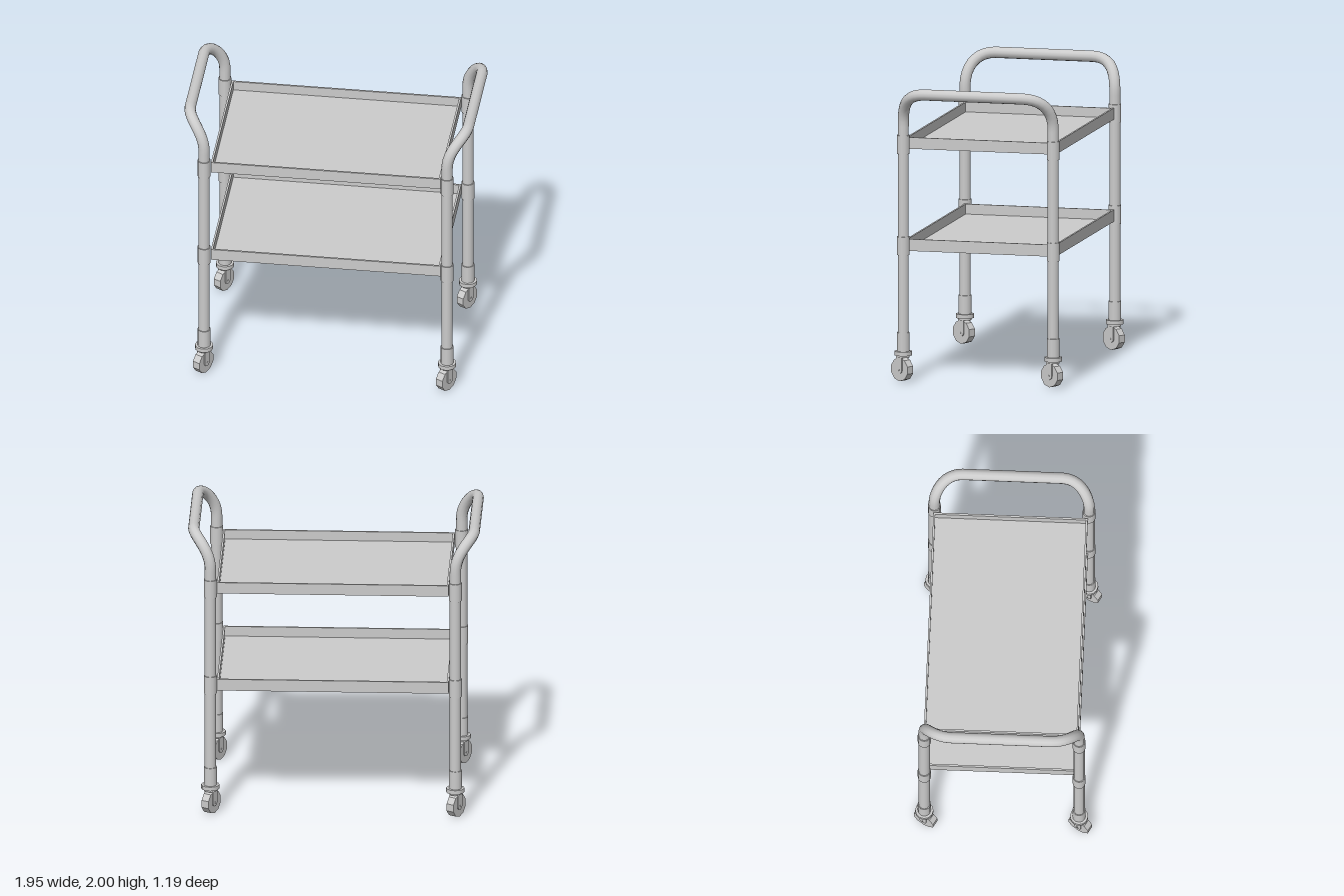
import * as THREE from 'three';

const LEG_X = 0.82, LEG_Z = 0.518, MID_Z = -0.004, TUBE_R = 0.038;
const material = new THREE.MeshStandardMaterial({ color: 0xcccccc });
const flat = new THREE.MeshStandardMaterial({ color: 0xcccccc, flatShading: true });

function add(parent, name, geometry, x = 0, y = 0, z = 0, mat = material) {
  const mesh = new THREE.Mesh(geometry, mat);
  mesh.name = name;
  mesh.position.set(x, y, z);
  parent.add(mesh);
  return mesh;
}

// One bent tube: two legs joined by a handle that flares outward
function frameTube(side) {
  const v = (x, y, z) => new THREE.Vector3(side * x, y, z);
  const hx = 0.938, hy = 1.962, hz = 0.33, bendY = 1.74;
  const path = new THREE.CurvePath();
  path.add(new THREE.LineCurve3(v(LEG_X, 0.2, LEG_Z), v(LEG_X, bendY, LEG_Z)));
  path.add(new THREE.CubicBezierCurve3(
    v(LEG_X, bendY, LEG_Z), v(LEG_X, 1.88, LEG_Z), v(hx, hy, 0.47), v(hx, hy, hz)));
  path.add(new THREE.LineCurve3(v(hx, hy, hz), v(hx, hy, -hz)));
  path.add(new THREE.CubicBezierCurve3(
    v(hx, hy, -hz), v(hx, hy, -0.47), v(LEG_X, 1.88, -LEG_Z), v(LEG_X, bendY, -LEG_Z)));
  path.add(new THREE.LineCurve3(v(LEG_X, bendY, -LEG_Z), v(LEG_X, 0.2, -LEG_Z)));
  return new THREE.TubeGeometry(path, 120, TUBE_R, 12, false);
}

// Shallow tray: floor panel with four thin walls
function tray(name, bottom, height) {
  const group = new THREE.Group();
  group.name = name;
  const w = 1.55, d = 1.034, t = 0.013;
  add(group, 'trayFloor', new THREE.BoxGeometry(w - t, 0.012, d - t), 0, 0.006, 0);
  for (const s of [-1, 1]) {
    add(group, 'trayLongWall', new THREE.BoxGeometry(w, height, t), 0, height / 2, s * (d - t) / 2);
    add(group, 'trayEndWall', new THREE.BoxGeometry(t, height, d - 2 * t), s * (w - t) / 2, height / 2, 0);
  }
  group.position.set(0, bottom, MID_Z - 0.006);
  return group;
}

// Fork plate with a rounded lower end, extruded along its thickness
function forkPlate() {
  const r = 0.026, axle = 0.078, top = 0.172, t = 0.007;
  const shape = new THREE.Shape();
  shape.moveTo(r, top);
  shape.lineTo(-r, top);
  shape.lineTo(-r, axle);
  shape.absarc(0, axle, r, Math.PI, Math.PI * 2, false);
  shape.closePath();
  return new THREE.ExtrudeGeometry(shape, { depth: t, bevelEnabled: false, curveSegments: 6 })
    .translate(0, 0, -t / 2).rotateY(Math.PI / 2);
}

// Swivelled caster with wheel, fork and round mounting plate
function caster() {
  const group = new THREE.Group();
  group.name = 'caster';
  add(group, 'casterPlate', new THREE.CylinderGeometry(0.061, 0.061, 0.028, 12), 0, 0.19, 0);
  add(group, 'casterCollar', new THREE.CylinderGeometry(0.044, 0.044, 0.016, 12), 0, 0.17, 0);
  const swivel = new THREE.Group();
  swivel.name = 'swivel';
  swivel.rotation.y = -Math.PI / 6;
  group.add(swivel);
  const wheel = new THREE.CylinderGeometry(0.08, 0.08, 0.054, 10)
    .rotateZ(Math.PI / 2).rotateX(Math.PI / 10);
  wheel.computeBoundingBox();
  add(swivel, 'wheel', wheel, 0, -wheel.boundingBox.min.y, 0.01, flat);
  for (const s of [-1, 1]) add(swivel, 'forkPlate', forkPlate(), s * 0.0305, 0, 0.008);
  add(swivel, 'forkBridge', new THREE.BoxGeometry(0.067, 0.01, 0.052), 0, 0.169, 0.008);
  add(swivel, 'axle', new THREE.CylinderGeometry(0.006, 0.006, 0.074, 8).rotateZ(Math.PI / 2), 0, 0.078, 0.008);
  return group;
}

export function createModel() {
  const model = new THREE.Group();
  model.name = 'serviceTrolley';

  for (const side of [-1, 1]) {
    add(model, side > 0 ? 'leftFrame' : 'rightFrame', frameTube(side), 0, 0, MID_Z);
    for (const end of [-1, 1]) {
      const x = side * LEG_X, z = end * LEG_Z + MID_Z;
      // Sleeves at the caster and at each tray: bottom and top heights
      for (const [y0, y1] of [[0.2, 0.33], [0.855, 0.98], [1.54, 1.665]]) {
        add(model, 'legSleeve', new THREE.CylinderGeometry(0.044, 0.044, y1 - y0, 12), x, (y0 + y1) / 2, z);
      }
      const wheel = caster();
      wheel.position.set(x, 0, z);
      model.add(wheel);
    }
  }

  model.add(tray('lowerTray', 0.875, 0.08), tray('upperTray', 1.567, 0.077));
  return model;
}
